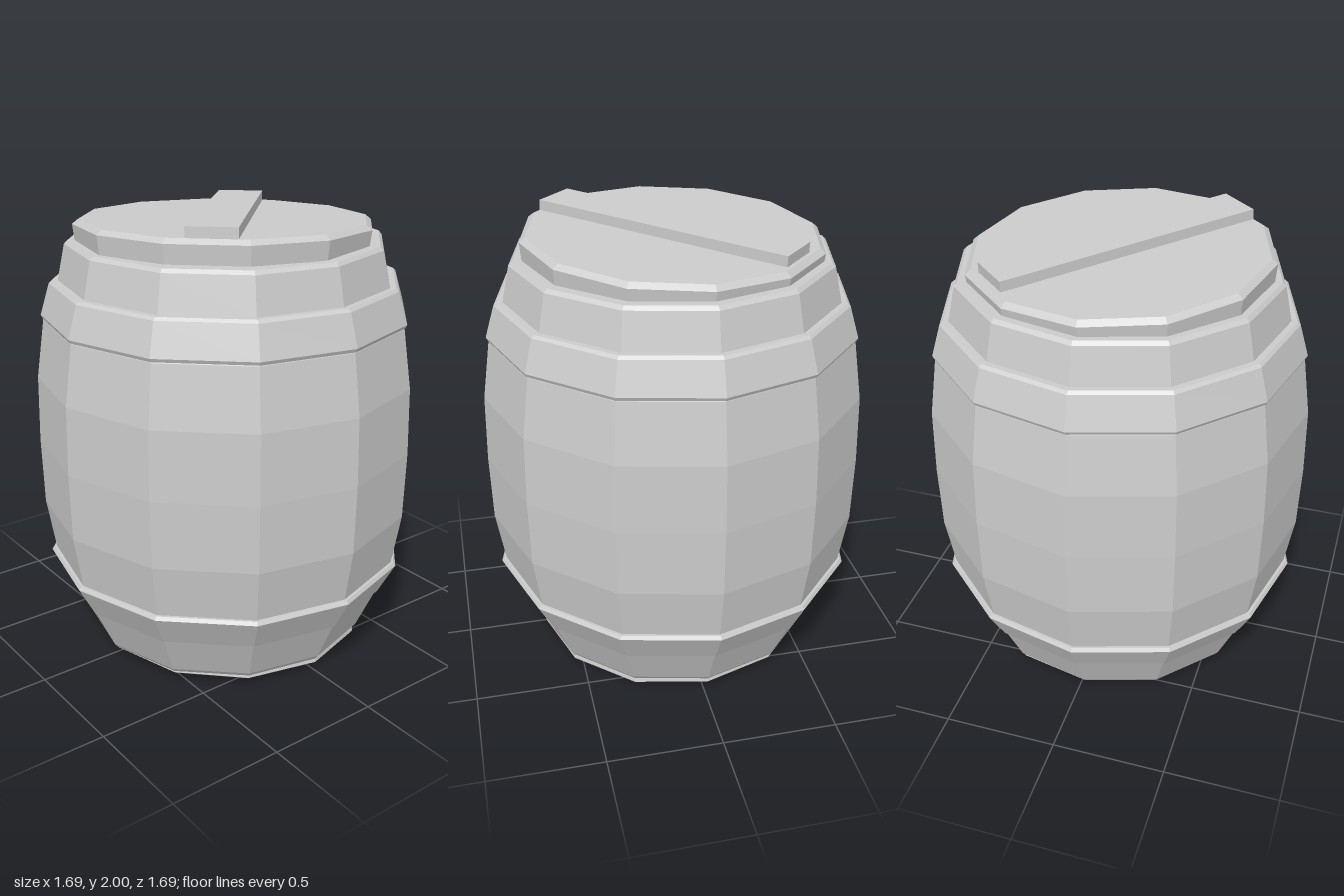
import * as THREE from 'three';

const SIDES = 12;
const TURN = 0.037; // small twist of the twelve-sided ring

const material = new THREE.MeshStandardMaterial({ color: 0xcccccc, flatShading: true });

function mesh(name, geometry) {
  const m = new THREE.Mesh(geometry, material);
  m.name = name;
  return m;
}

// Faceted ring of revolution from [radius, height] pairs, listed bottom to top
function turned(name, profile) {
  const points = profile.map(([r, y]) => new THREE.Vector2(r, y));
  const geometry = new THREE.LatheGeometry(points, SIDES, TURN).toNonIndexed();
  geometry.computeVertexNormals();
  return mesh(name, geometry);
}

// Lean an object so that its up axis points along (x, 1, z)
function lean(object, x, z) {
  const up = new THREE.Vector3(x, 1, z).normalize();
  object.quaternion.setFromUnitVectors(new THREE.Vector3(0, 1, 0), up);
}

export function createModel() {
  const barrel = new THREE.Group();
  barrel.name = 'barrel';

  // Bulging staves with a flat rim
  barrel.add(turned('staves', [
    [0, 0.04], [0.63, 0.035], [0.65, 0.06], [0.735, 0.25], [0.8, 0.415], [0.838, 0.65],
    [0.845, 0.95], [0.838, 1.25], [0.8, 1.51], [0.73, 1.675],
    [0.695, 1.835], [0.68, 1.85], [0, 1.85],
  ]));

  // Hoops with bevelled lips
  barrel.add(turned('lowerHoop', [
    [0.73, 0.25], [0.745, 0.255], [0.822, 0.4], [0.812, 0.415], [0.79, 0.415],
  ]));
  barrel.add(turned('upperHoop', [
    [0.79, 1.512], [0.803, 1.515], [0.81, 1.53], [0.768, 1.668], [0.755, 1.68], [0.72, 1.68],
  ]));

  // Slightly tilted base disc
  const base = turned('base', [[0, 0], [0.61, 0], [0.635, 0.018], [0.63, 0.04], [0, 0.04]]);
  base.position.y = 0.013;
  lean(base, 0.015, -0.015);
  barrel.add(base);

  // Tilted lid carrying a diagonal plank
  const lid = new THREE.Group();
  lid.name = 'lid';
  lid.position.set(-0.005, 1.93, 0.005);
  lean(lid, -0.03, -0.03);
  lid.add(turned('lidDisc', [[0, -0.1], [0.64, -0.1], [0.65, -0.02], [0.625, 0], [0, 0]]));
  const plank = mesh('lidPlank', new THREE.BoxGeometry(1.19, 0.065, 0.207));
  plank.position.set(0.017, 0.0125, -0.005);
  plank.rotation.y = -0.75;
  lid.add(plank);
  barrel.add(lid);

  return barrel;
}
